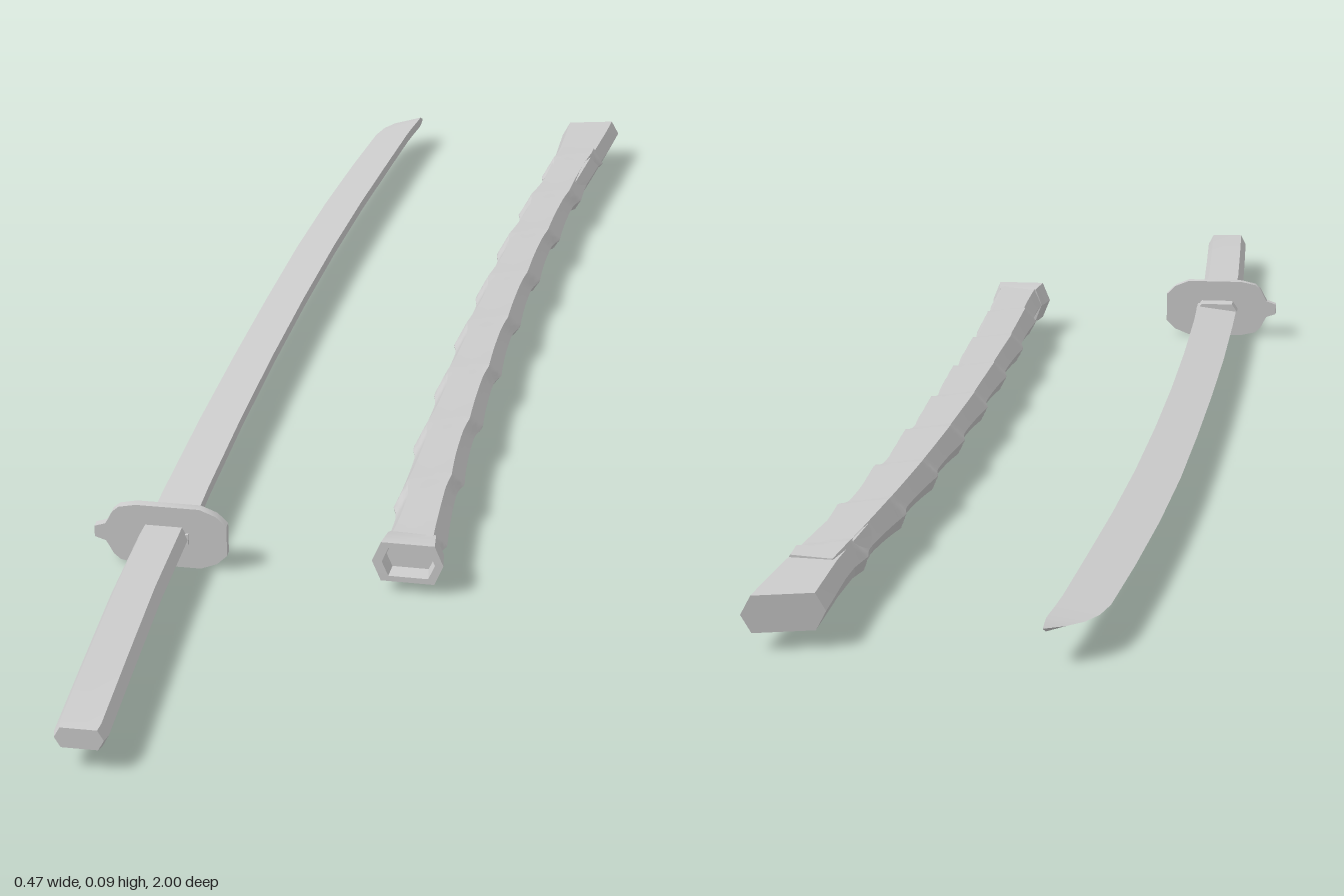
import * as THREE from 'three';
import { toCreasedNormals } from 'three/addons/utils/BufferGeometryUtils.js';

const MID_Y = 0.046;
const material = new THREE.MeshStandardMaterial({ color: 0xcccccc });

// Flattened hexagon (unit half-width and half-height), n points per side, counter-clockwise from +z
function hexagon(n = 1, shoulder = 0.75) {
  const c = [[1, 0], [shoulder, 1], [-shoulder, 1], [-1, 0], [-shoulder, -1], [shoulder, -1]];
  return c.flatMap((p, i) => {
    const q = c[(i + 1) % 6];
    return Array.from({ length: n }, (_, k) => [p[0] + (q[0] - p[0]) * k / n, p[1] + (q[1] - p[1]) * k / n]);
  });
}

// Skin over cross-section loops (back to front), capped at both ends
function loft(name, rings, crease) {
  const m = rings[0].length, pos = rings.flat(2), index = [];
  const last = rings.length - 1;
  for (let i = 0; i < last; i++) {
    for (let j = 0; j < m; j++) {
      const a = i * m + j, b = i * m + (j + 1) % m;
      index.push(a, b, b + m, a, b + m, a + m);
    }
  }
  [0, last].forEach((r, end) => {
    const centre = pos.length / 3;
    for (let k = 0; k < 3; k++) pos.push(rings[r].reduce((s, p) => s + p[k], 0) / m);
    for (let j = 0; j < m; j++) {
      const a = r * m + j, b = r * m + (j + 1) % m;
      if (end) index.push(centre, a, b); else index.push(centre, b, a);
    }
  });
  const geo = new THREE.BufferGeometry();
  geo.setAttribute('position', new THREE.Float32BufferAttribute(pos, 3));
  geo.setIndex(index);
  const mesh = new THREE.Mesh(toCreasedNormals(geo, crease), material);
  mesh.name = name;
  return mesh;
}

// One loop of a profile: centre x, z, half-width, half-height, slant of the cut
const section = (profile, [z, x, w, h, slant = 0]) =>
  profile.map(([u, v]) => [x + u * w, MID_Y + v * h, z - slant * u * w]);

function createSword() {
  const sword = new THREE.Group();
  sword.name = 'sword';

  // Blade: z, cutting edge x, spine x; wedge section with the point on the spine side
  const bladeRows = [
    [-0.98, -0.143, -0.141], [-0.968, -0.165, -0.142], [-0.95, -0.184, -0.143],
    [-0.925, -0.197, -0.145], [-0.89, -0.204, -0.147], [-0.75, -0.21, -0.15],
    [-0.58, -0.214, -0.153], [-0.4, -0.214, -0.153], [-0.2, -0.209, -0.149],
    [0, -0.202, -0.142], [0.2, -0.193, -0.132], [0.4, -0.181, -0.119], [0.53, -0.172, -0.108],
  ];
  sword.add(loft('blade', bladeRows.map(([z, edge, spine], i) => {
    const t = i === 0 ? 0.001 : 0.008;
    return [[edge, MID_Y, z], [spine, MID_Y - t, z], [spine, MID_Y + t, z]];
  }), 0.5));

  // Collar between blade and guard
  sword.add(loft('bladeCollar', [[0.495, -0.143, 0.033, 0.012, 0.09], [0.525, -0.14, 0.034, 0.013, 0.09]]
    .map(r => section(hexagon(), r)), 0.5));

  // Guard: rounded plate with a small notched tab on its right
  const half = [[0.087, 0.022], [0.073, 0.036], [0.051, 0.045], [-0.035, 0.045], [-0.058, 0.04],
    [-0.067, 0.032], [-0.073, 0.02], [-0.077, 0.013], [-0.083, 0.011], [-0.092, 0.008]];
  const outline = [...half, ...half.map(([x, y]) => [x, -y]).reverse()];
  const plate = new THREE.ExtrudeGeometry(new THREE.Shape(outline.map(p => new THREE.Vector2(...p))),
    { depth: 0.012, bevelEnabled: false });
  const guard = new THREE.Mesh(toCreasedNormals(plate, 0.6), material);
  guard.name = 'guard';
  guard.position.set(-0.145, MID_Y, 0.517);
  guard.rotation.y = 0.09;
  sword.add(guard);

  // Handle: long hexagonal grip
  const gripRows = [[0.525, -0.142, 0.033, 0.016, 0.09], [0.68, -0.13, 0.033, 0.016, 0.09],
    [0.84, -0.113, 0.033, 0.016, 0.1], [0.985, -0.097, 0.033, 0.016, 0.1],
    [0.997, -0.096, 0.03, 0.014, 0.1]];
  sword.add(loft('handle', gripRows.map(r => section(hexagon(), r)), 0.6));
  return sword;
}

function createScabbard() {
  const scabbard = new THREE.Group();
  scabbard.name = 'scabbard';

  // Plain flared end with a slanted cut
  const endRows = [[-0.985, 0.163, 0.047, 0.023, 0.32], [-0.94, 0.163, 0.045, 0.023, 0.2],
    [-0.86, 0.162, 0.04, 0.023], [-0.72, 0.157, 0.036, 0.022]];
  scabbard.add(loft('scabbardEnd', endRows.map(r => section(hexagon(), r)), 0.6));

  // Wrapped body: bent hexagonal tube with a spiral of overlapping bands
  const spine = new THREE.CatmullRomCurve3([[0.163, -0.86], [0.156, -0.72], [0.15, -0.55], [0.148, -0.38],
    [0.151, -0.15], [0.157, 0.02], [0.168, 0.25], [0.18, 0.4], [0.186, 0.49]]
    .map(([x, z]) => new THREE.Vector3(x, 0, z)));
  const profile = hexagon(6, 0.66), steps = 160, pitch = 0.165;
  const rings = Array.from({ length: steps + 1 }, (_, i) => {
    const p = spine.getPoint(i / steps);
    return profile.map(([u, v]) => {
      const turn = p.z / pitch - Math.atan2(v, u) / (2 * Math.PI) + 10;
      const phase = turn - Math.floor(turn);
      const lift = phase < 0.8 ? phase / 0.8 : (1 - phase) / 0.2;
      const bump = 0.0075 * lift * lift;
      return [p.x + u * (0.036 + bump), MID_Y + v * (0.0225 + bump * 0.8), p.z];
    });
  });
  scabbard.add(loft('wrappedBody', rings, 0.6));

  // Mouth collar: outside, rim, then the inside down to the floor of the opening
  const mouthRows = [[0.482, 0.186, 0.039, 0.026, 0.08], [0.487, 0.186, 0.042, 0.028, 0.08],
    [0.517, 0.187, 0.047, 0.029, 0.08], [0.517, 0.188, 0.035, 0.021, 0.08],
    [0.495, 0.186, 0.032, 0.019, 0.08]];
  scabbard.add(loft('mouthCollar', mouthRows.map(r => section(hexagon(), r)), 0.5));
  return scabbard;
}

export function createModel() {
  const model = new THREE.Group();
  model.name = 'swordAndScabbard';
  model.add(createSword(), createScabbard());
  return model;
}
